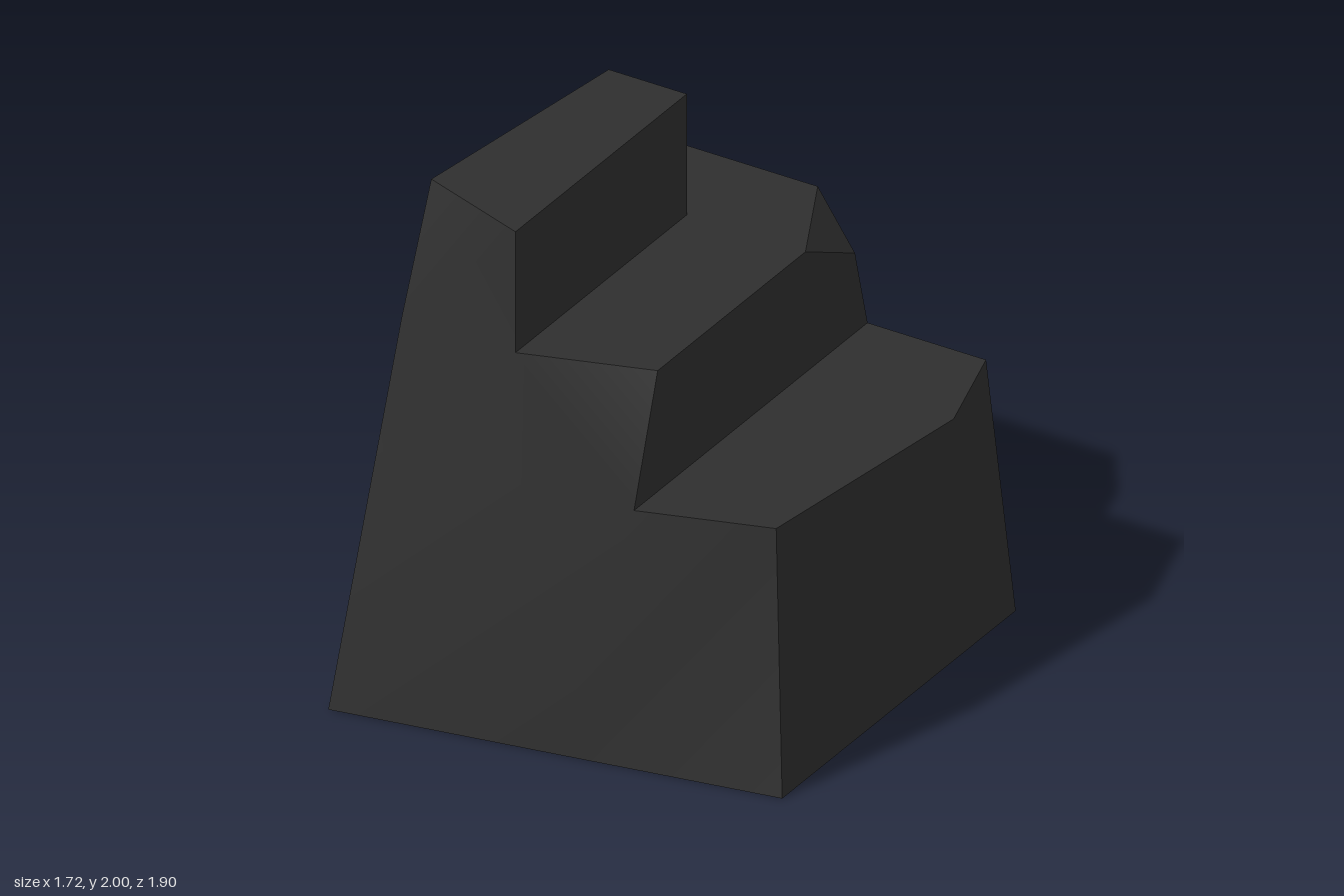
import * as THREE from 'three';
import { toCreasedNormals } from 'three/addons/utils/BufferGeometryUtils.js';

// Corner points, level by level
const P = {
  // base
  FL: [-0.86, 0, 0.95], FM: [0, 0, 0.79], FR: [0.855, 0, 0.63],
  BR: [0.855, 0, -0.95], BL: [-0.725, 0, -0.95],
  // lower step
  L1: [-0.78, 1, 0.75], a: [0.23, 1, 0.63], b: [0.73, 1, 0.47],
  c: [0.855, 1, -0.53], d: [0.73, 1, -0.95], e: [0.23, 1, -0.95],
  // middle step
  f: [-0.75, 1.5, 0.63], g: [-0.27, 1.5, 0.63], h: [0.23, 1.5, 0.47],
  i: [0.23, 1.5, -0.53], j: [0.02, 1.5, -0.95], k: [-0.725, 1.5, -0.95],
  l: [-0.725, 1.5, -0.53], m: [-0.27, 1.5, -0.53], p: [0.23, 1.33, -0.865],
  // top block
  n: [-0.725, 2, 0.47], o: [-0.27, 2, 0.63], q: [-0.27, 2, -0.53], r: [-0.6, 2, -0.53],
};

// Each face is a list of corner names, fanned from its first corner
function faceMesh(name, faces, material) {
  const positions = [];
  for (const face of faces) {
    const pts = face.split(' ').map((key) => P[key]);
    for (let t = 1; t < pts.length - 1; t++) positions.push(...pts[0], ...pts[t], ...pts[t + 1]);
  }
  const geometry = new THREE.BufferGeometry();
  geometry.setAttribute('position', new THREE.Float32BufferAttribute(positions, 3));
  const mesh = new THREE.Mesh(toCreasedNormals(geometry, 0.55), material);
  mesh.name = name;
  return mesh;
}

export function createModel() {
  const stone = new THREE.MeshStandardMaterial({ color: 0x2e2e2e });
  stone.name = 'dark stone';

  const model = new THREE.Group();
  model.name = 'steppedRock';
  model.add(
    // flat step tops
    faceMesh('lowerTread', ['a b c d e'], stone),
    faceMesh('middleTread', ['m g h i j k l'], stone),
    faceMesh('topTread', ['n o q r'], stone),
    // upright faces between the steps
    faceMesh('lowerRiser', ['a e p i h'], stone),
    faceMesh('upperRiser', ['g m q o'], stone),
    faceMesh('topBlockBack', ['m l r q'], stone),
    // outer sides of the rock
    faceMesh('frontFace', ['FL FM a L1', 'FM FR b a', 'L1 a g f', 'a h g', 'f g o n'], stone),
    faceMesh('rightFace', ['FR c b', 'FR BR c', 'BR d c'], stone),
    faceMesh('backFace', ['e d BR BL k j'], stone),
    faceMesh('backChips', ['e j p', 'p j i'], stone),
    faceMesh('leftFace', ['l k BL FL L1 f', 'l f n r'], stone),
    faceMesh('underside', ['BL BR FR FM FL'], stone),
  );
  return model;
}
